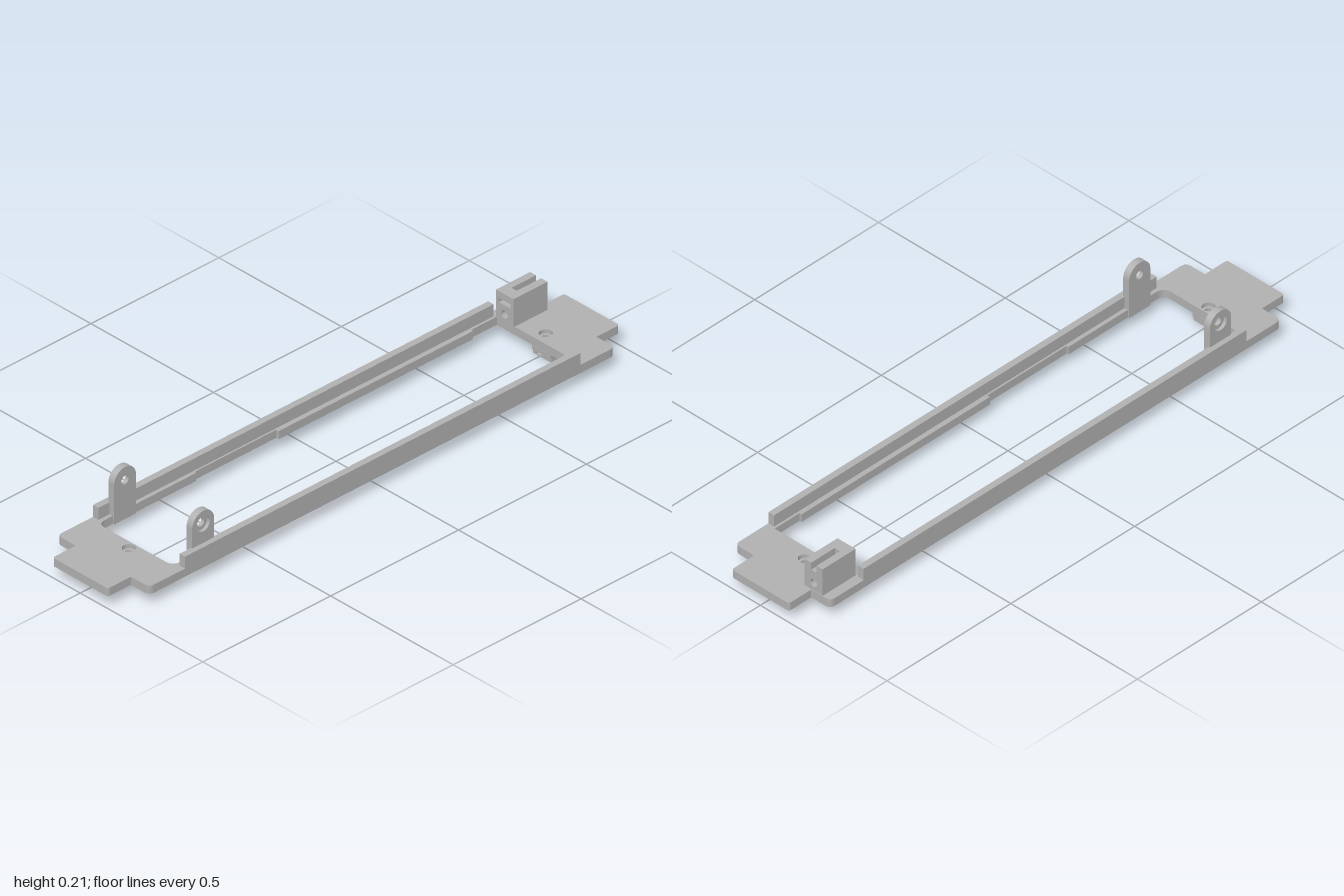
import * as THREE from 'three';

const steel = new THREE.MeshStandardMaterial({ color: 0xb0b0b0 });
steel.name = 'plain grey';

// Shape from a list of corners; a third value rounds that corner
function trace(path, pts) {
  const n = pts.length;
  pts.forEach(([x, y, r = 0], i) => {
    const p = new THREE.Vector2(x, y);
    const toward = (q) => new THREE.Vector2(q[0], q[1]).sub(p).normalize().multiplyScalar(r).add(p);
    const a = toward(pts[(i + n - 1) % n]);
    const b = toward(pts[(i + 1) % n]);
    if (i === 0) path.moveTo(a.x, a.y);
    else path.lineTo(a.x, a.y);
    if (r) path.quadraticCurveTo(x, y, b.x, b.y);
  });
  path.closePath();
  return path;
}
const outline = (pts) => trace(new THREE.Shape(), pts);
const cutout = (pts) => trace(new THREE.Path(), pts);
const circle = (x, y, r) => new THREE.Path().absarc(x, y, r, 0, Math.PI * 2, true);
const rect = (x0, x1, y0, y1) => [[x0, y0], [x1, y0], [x1, y1], [x0, y1]];

const extrude = (shape, depth) =>
  new THREE.ExtrudeGeometry(shape, { depth, bevelEnabled: false, curveSegments: 16 });

function add(parent, name, geometry) {
  const mesh = new THREE.Mesh(geometry, steel);
  mesh.name = name;
  parent.add(mesh);
  return mesh;
}
const box = (parent, name, x0, x1, y0, y1, z0, z1) =>
  add(parent, name, new THREE.BoxGeometry(x1 - x0, y1 - y0, z1 - z0)
    .translate((x0 + x1) / 2, (y0 + y1) / 2, (z0 + z1) / 2));
// Profile in x and y, running from z0 to z1
const alongZ = (parent, name, shape, z0, z1) =>
  add(parent, name, extrude(shape, z1 - z0).translate(0, 0, z0));

// Flat frame; profile is drawn as (x, -z)
function framePlate(parent, name, y0, y1, screwRadius) {
  const half = [[0.188, -0.91, 0.02], [0.188, 0.91, 0.02], [0.113, 0.91], [0.113, 1, 0.01]];
  const tail = [[0.113, -1, 0.01], [0.113, -0.91]];
  const right = [...tail, ...half];
  const mirror = (pts) => pts.map(([x, y, r]) => [-x, y, r]).reverse();
  const shape = outline([...right, ...mirror(right)]);

  // Opening with stepped inner ledges
  const inner = [[0.153, -0.785, 0.03], [0.153, -0.4], [0.16, -0.4], [0.16, -0.08],
    [0.15, -0.08], [0.15, 0.68], [0.158, 0.68], [0.158, 0.78]];
  shape.holes.push(cutout([...inner, ...mirror(inner)]),
    circle(0, 0.82, screwRadius), circle(0, -0.81, screwRadius));
  add(parent, name, extrude(shape, y1 - y0).rotateX(-Math.PI / 2).translate(0, y0, 0));
}

// Upright ear with a counterbored hole on its outer face
function lug(parent, name, side) {
  const group = new THREE.Group();
  group.name = name;
  const layer = (part, x0, x1, radius) => {
    const s = new THREE.Shape();
    s.moveTo(0.64, 0.04);
    s.lineTo(0.726, 0.04);
    s.lineTo(0.726, 0.171);
    s.absarc(0.683, 0.171, 0.043, 0, Math.PI, false);
    s.closePath();
    s.holes.push(circle(0.683, 0.171, radius));
    const [lo, hi] = side > 0 ? [x0, x1] : [-x1, -x0];
    add(group, part, extrude(s, hi - lo).rotateY(-Math.PI / 2).translate(hi, 0, 0));
  };
  layer('lugInner', 0.148, 0.16, 0.014);
  layer('lugOuter', 0.16, 0.171, 0.026);
  parent.add(group);
}

// Hook below the frame, open at the top
function foot(parent, name, z) {
  const group = new THREE.Group();
  group.name = name;
  const hook = outline([[-0.027, 0.015], [0.048, 0.015], [0.048, 0.04], [0.025, 0.04],
    [0.025, 0.028], [-0.023, 0.028], [-0.023, 0.04], [-0.027, 0.04]]);
  alongZ(group, 'footHook', hook, z - 0.02, z + 0.02);
  box(group, 'footCore', -0.027, 0.048, 0, 0.015, z - 0.005, z + 0.005);
  for (const z0 of [z - 0.016, z + 0.005]) {
    const s = outline(rect(-0.027, 0.048, 0, 0.015));
    s.holes.push(cutout(rect(-0.012, 0.008, 0.004, 0.0145)));
    alongZ(group, 'footFace', s, z0, z0 + 0.011);
  }
  parent.add(group);
}

// Bored block with a front pocket and a slot open to the top and back
function guideBlock(parent) {
  const group = new THREE.Group();
  group.name = 'guideBlock';
  const [x0, x1, y0, y1] = [-0.156, -0.085, 0.067, 0.161];
  const front = outline(rect(x0, x1, y0, y1));
  front.holes.push(circle(-0.121, 0.093, 0.013), cutout(rect(-0.145, -0.097, 0.124, 0.139)));
  alongZ(group, 'blockFront', front, -0.813, -0.775);

  const back = outline([[x0, y0], [x1, y0], [x1, y1], [-0.111, y1], [-0.111, 0.136],
    [-0.132, 0.136], [-0.132, y1], [x0, y1]]);
  back.holes.push(circle(-0.121, 0.093, 0.013));
  alongZ(group, 'blockBack', back, -0.908, -0.813);
  parent.add(group);
}

export function createModel() {
  const model = new THREE.Group();
  model.name = 'mountingFrame';

  // Two layers give the screw holes their counterbores
  framePlate(model, 'frameLower', 0.04, 0.054, 0.011);
  framePlate(model, 'frameUpper', 0.054, 0.067, 0.02);

  // Side walls
  box(model, 'leftRail', 0.166, 0.188, 0.067, 0.107, -0.775, 0.77);
  box(model, 'rightRail', -0.188, -0.166, 0.067, 0.107, -0.775, 0.77);

  lug(model, 'leftLug', 1);
  lug(model, 'rightLug', -1);

  foot(model, 'frontFoot', 0.815);
  foot(model, 'backFoot', -0.812);

  guideBlock(model);
  return model;
}
